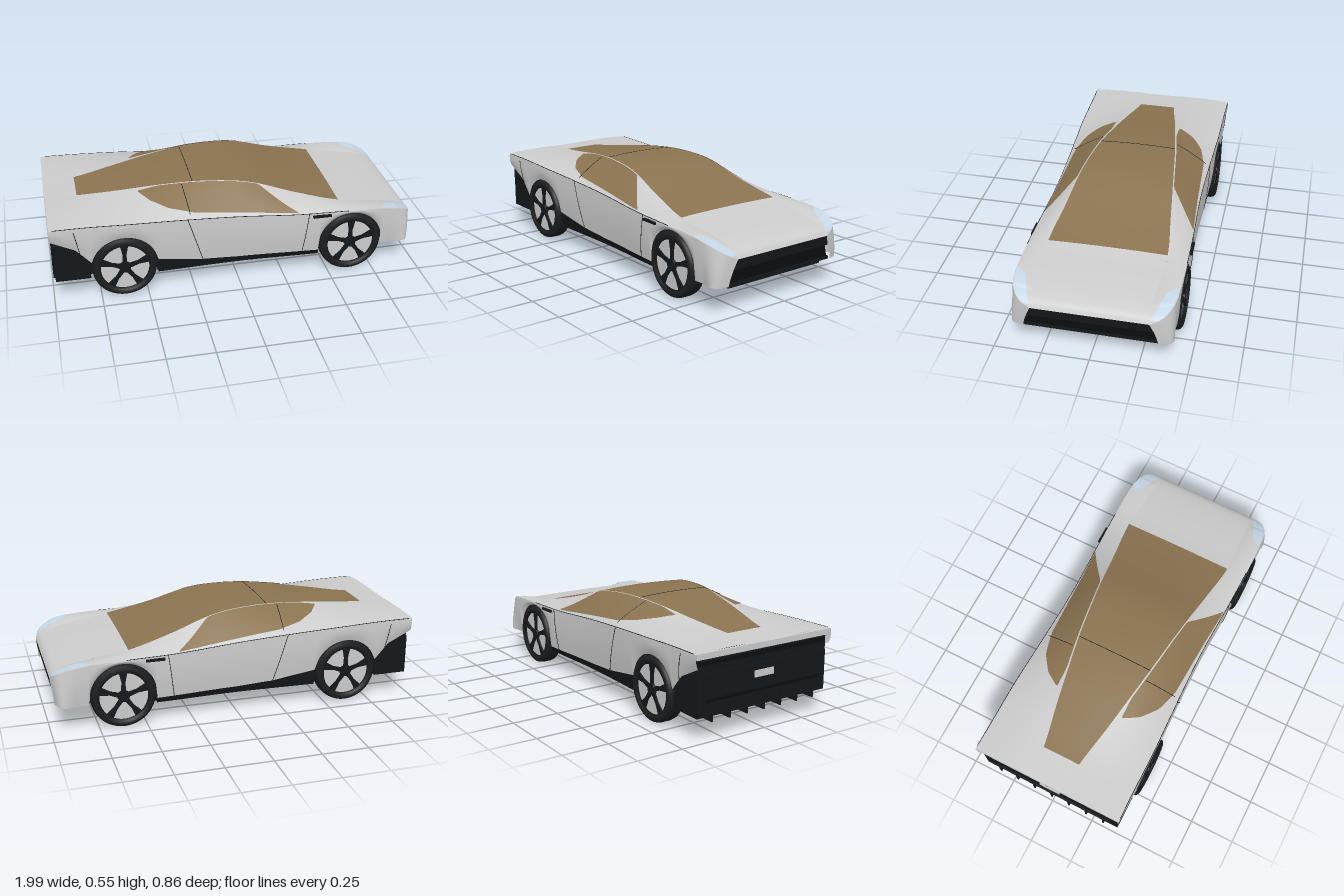
import * as THREE from 'three';

const mat = (color) => new THREE.MeshStandardMaterial({ color, side: THREE.DoubleSide });
const PAINT = mat(0xcccccc), GLASS = mat(0x8a7350), BLACK = mat(0x14171a);
const RUBBER = mat(0x1c1d1f), LAMP = mat(0xc4d6e6), DARK = mat(0x0c0e10);

// Body stations: x, centre y, roof edge z, roof edge y, shoulder z, shoulder y
const STATIONS = [
  [-1, .452, .08, .452, .425, .448], [-.8, .468, .11, .467, .422, .445],
  [-.6, .497, .15, .494, .422, .437], [-.4, .528, .185, .522, .415, .427],
  [-.2, .547, .218, .54, .408, .415], [0, .543, .245, .535, .404, .402],
  [.13, .522, .262, .513, .406, .392], [.33, .46, .287, .45, .414, .38],
  [.57, .395, .315, .39, .42, .375], [.78, .36, .305, .357, .42, .367],
  [.88, .34, .3, .338, .412, .35], [.94, .322, .297, .32, .385, .325],
  [.97, .303, .294, .302, .35, .303], [.985, .28, .29, .28, .3, .28],
];
// Lower edge of the painted side, and window limits across the flank
const LOWER = [[-1, .375], [-.87, .31], [-.79, .22], [-.45, .2], [-.2, .16], [0, .148], [.45, .14], [.985, .145]];
const WIN_TOP = [[-.51, .1], [-.4, .03], [.13, .03], [.32, .92]];
const WIN_LOW = [[-.51, .14], [-.46, .42], [-.37, .68], [-.24, .84], [0, .9], [.32, .95]];
const LAMP_TOP = [[.79, .86], [.83, .45], [.975, .2]];
const WHEEL_X = .62, WHEEL_Y = .175, ARCH = .178;

const lerp = THREE.MathUtils.lerp;
function linear(table, x) {
  let i = 0;
  while (i < table.length - 2 && x > table[i + 1][0]) i++;
  const [a, b] = [table[i], table[i + 1]];
  return lerp(a[1], b[1], THREE.MathUtils.clamp((x - a[0]) / (b[0] - a[0]), 0, 1));
}
// Smooth interpolation of one station column
function station(x, c) {
  const S = STATIONS, n = S.length;
  let i = 0;
  while (i < n - 2 && x > S[i + 1][0]) i++;
  const slope = (k) => {
    const a = S[Math.max(k - 1, 0)], b = S[Math.min(k + 1, n - 1)];
    return (b[c] - a[c]) / (b[0] - a[0]);
  };
  const h = S[i + 1][0] - S[i][0], t = (x - S[i][0]) / h, t2 = t * t, t3 = t2 * t;
  return (2 * t3 - 3 * t2 + 1) * S[i][c] + (t3 - 2 * t2 + t) * h * slope(i)
    + (3 * t2 - 2 * t3) * S[i + 1][c] + (t3 - t2) * h * slope(i + 1);
}
function lowerEdge(x) {
  const d = Math.abs(Math.abs(x) - WHEEL_X);
  return Math.max(linear(LOWER, x), d < ARCH ? WHEEL_Y + Math.sqrt(ARCH * ARCH - d * d) : 0);
}

// Body surfaces as functions of x and a cross parameter t
const roof = (x, t) => {
  const ye = station(x, 3);
  return [x, ye + (station(x, 1) - ye) * (1 - t * t), t * station(x, 2)];
};
const flank = (x, t, lift = 0) => [x,
  lerp(station(x, 3), station(x, 5), t) + .02 * t * (1 - t) * (x < .9 ? 1 : 0) + lift,
  lerp(station(x, 2), station(x, 4), t) + lift * .7];
const side = (x, t, lift = 0) => {
  const k = THREE.MathUtils.smoothstep(x, .85, .985), zs = station(x, 4);
  return [x - .015 * k * t, lerp(station(x, 5), lowerEdge(x), t),
    zs + t * (-.01 + .055 * k) + .006 * Math.sin(Math.PI * t) + lift];
};

const range = (a, b, n) => Array.from({ length: n + 1 }, (_, i) => lerp(a, b, i / n));
const noseXs = range(0, 1, 20).map((s) => lerp(.85, .985, 1 - (1 - s) ** 2));

// Grid surface; sign -1 mirrors it to the other side
function patch(fn, us, ts, sign = 1) {
  const pos = [], idx = [], m = ts.length;
  us.forEach((u) => ts.forEach((t) => { const p = fn(u, t); pos.push(p[0], p[1], p[2] * sign); }));
  for (let i = 0; i < us.length - 1; i++) for (let j = 0; j < m - 1; j++) {
    const a = i * m + j, b = a + 1, c = a + m, d = c + 1;
    if (sign > 0) idx.push(a, b, c, b, d, c); else idx.push(a, c, b, b, c, d);
  }
  const g = new THREE.BufferGeometry();
  g.setAttribute('position', new THREE.Float32BufferAttribute(pos, 3));
  g.setIndex(idx);
  g.computeVertexNormals();
  return g;
}

function makeWheel() {
  const w = new THREE.Group();
  const add = (geo, m, name) => { const o = new THREE.Mesh(geo, m); o.name = name; w.add(o); return o; };
  const tyreProfile = [[.13, -.045], [.155, -.047], [.168, -.038], [.172, -.02], [.172, .02], [.168, .038], [.155, .047], [.136, .045], [.13, .03]];
  add(new THREE.LatheGeometry(tyreProfile.map((p) => new THREE.Vector2(...p)), 48).rotateX(Math.PI / 2), RUBBER, 'tyre');
  add(new THREE.CylinderGeometry(.134, .134, .06, 48).rotateX(Math.PI / 2), PAINT, 'rimDisc');
  add(new THREE.TorusGeometry(.134, .006, 6, 48).translate(0, 0, .036), BLACK, 'rimRing');
  add(new THREE.CylinderGeometry(.03, .034, .016, 20).rotateX(Math.PI / 2).translate(0, 0, .035), BLACK, 'hub');
  const blade = new THREE.Shape([[-.013, .02], [.013, .02], [.01, .075], [.022, .133], [-.022, .133], [-.01, .075]].map((p) => new THREE.Vector2(...p)));
  const spoke = new THREE.ExtrudeGeometry(blade, { depth: .01, bevelEnabled: false });
  for (let i = 0; i < 5; i++) {
    const s = add(spoke, BLACK, 'spoke');
    s.position.z = .029;
    s.rotation.z = i * Math.PI * 2 / 5;
  }
  return w;
}

export function createModel() {
  const car = new THREE.Group();
  car.name = 'car';
  const add = (name, geo, m) => { const o = new THREE.Mesh(geo, m); o.name = name; car.add(o); return o; };
  // Box given by its limits
  const box = (name, m, x0, x1, y0, y1, z0, z1) => add(name, new THREE.BoxGeometry(x1 - x0, y1 - y0, z1 - z0)
    .translate((x0 + x1) / 2, (y0 + y1) / 2, (z0 + z1) / 2), m);
  const seam = (name, pts) => add(name, new THREE.TubeGeometry(
    new THREE.CatmullRomCurve3(pts.map((p) => new THREE.Vector3(...p))), 24, .0018, 5), BLACK);

  // Bonnet, glass canopy and rear deck
  const across = range(-1, 1, 16);
  add('rearDeck', patch(roof, range(-1, -.83, 10), across), PAINT);
  add('glassCanopy', patch(roof, range(-.83, .57, 70), across), GLASS);
  add('bonnet', patch(roof, [...range(.57, .84, 16), ...noseXs], across), PAINT);
  seam('roofSeam', across.map((t) => roof(-.22, t)));

  const bodyXs = [...range(-1, .84, 230), ...noseXs];
  for (const s of [1, -1]) {
    const mirror = (p) => [p[0], p[1], p[2] * s];
    // Painted flanks and sides with wheel arches
    add('shoulder', patch(flank, bodyXs, range(0, 1, 8), s), PAINT);
    add('sidePanel', patch(side, bodyXs, range(0, 1, 8), s), PAINT);
    // Side window and headlamp lie on the flank
    add('sideWindow', patch((x, t) => flank(x, lerp(linear(WIN_TOP, x), linear(WIN_LOW, x), t), .003),
      range(-.51, .32, 50), range(0, 1, 8), s), GLASS);
    add('headlamp', patch((x, t) => flank(x, lerp(linear(LAMP_TOP, x), .93, t), .003),
      range(.79, .975, 24), range(0, 1, 4), s), LAMP);
    seam('windowSeam', range(.06, .88, 6).map((t) => mirror(flank(-.27 + .02 * (t - .5), t, .003))));
    seam('rearDoorSeam', range(0, 1, 8).map((t) => mirror(side(-.28 + .08 * t, t, .001))));
    seam('frontDoorSeam', range(0, 1, 8).map((t) => mirror(side(.38 - .03 * t, t, .001))));
    seam('shoulderCrease', range(-.98, .6, 20).map((x) => mirror(side(x, 0))));
    seam('rearCornerSeam', range(.15, 1, 6).map((t) => mirror(side(-.88 + .03 * t, t, .001))));
    // Dark sill between the wheels
    add('sill', patch((x, t) => { const p = side(x, 1); return [x, lerp(p[1], .11, t), p[2] - .012 * t]; },
      range(-.442, .442, 40), range(0, 1, 2), s), BLACK);
    box('sideCamera', BLACK, .4, .5, .355, .367, s * .424 - .007, s * .424 + .007);
    // Wheels
    for (const x of [-WHEEL_X, WHEEL_X]) {
      const w = makeWheel();
      w.name = x > 0 ? 'frontWheel' : 'rearWheel';
      w.position.set(x, WHEEL_Y, s * .378);
      if (s < 0) w.rotation.y = Math.PI;
      car.add(w);
    }
  }

  // Nose: upper dark band and recessed intake
  const nose = (v0, v1, inset) => (v, u) => {
    const t = lerp(v0, v1, v);
    return [.985 - .015 * t - inset, lerp(.28, .145, t), u * lerp(.3, .345, t)];
  };
  add('noseBand', patch(nose(0, .38, 0), range(0, 1, 2), range(-1, 1, 12), -1), BLACK);
  add('noseIntake', patch(nose(.36, 1, .022), range(0, 1, 2), range(-1, 1, 12), -1), DARK);
  box('intakeLedge', BLACK, .935, .974, .226, .232, -.315, .315);
  box('frontSplitter', BLACK, .8, .955, .14, .155, -.35, .35);

  // Rear: painted lip, dark bumper, plate panel and diffuser fins
  box('rearLip', PAINT, -1, -.985, .418, .448, -.42, .42);
  box('rearPanel', BLACK, -.975, -.95, .3, .43, -.412, .412);
  box('rearBumper', BLACK, -.985, -.8, .125, .34, -.405, .405);
  box('lightBar', DARK, -.985, -.975, .38, .4, -.4, .4);
  box('platePanel', PAINT, -.99, -.985, .27, .305, -.06, .06);
  box('diffuserShelf', DARK, -.995, -.985, .2, .215, -.36, .36);
  for (let i = -3; i <= 3; i++) box('diffuserFin', BLACK, -.995, -.76, .098, .18, i * .107 - .004, i * .107 + .004);

  // Underbody
  box('floor', BLACK, -.445, .445, .112, .15, -.385, .385);
  box('floorSpine', BLACK, -.96, .93, .118, .2, -.31, .31);
  for (const x of [-WHEEL_X, WHEEL_X]) box('wheelHousing', DARK, x - .175, x + .175, .116, .335, -.32, .32);
  for (const x of [-.48, 0, .48]) box('crossBar', PAINT, x - .006, x + .006, .106, .114, -.36, .36);
  for (const x of [-.25, .25]) {
    const fan = new THREE.Group();
    fan.name = 'underbodyFan';
    fan.position.set(x, .11, 0);
    const part = (name, geo, m) => { const o = new THREE.Mesh(geo, m); o.name = name; fan.add(o); return o; };
    part('fanRing', new THREE.TorusGeometry(.15, .004, 6, 40).rotateX(Math.PI / 2), PAINT);
    part('fanHub', new THREE.CylinderGeometry(.03, .03, .01, 20), RUBBER);
    for (let i = 0; i < 8; i++) {
      const b = part('fanBlade', new THREE.BoxGeometry(.115, .004, .035).rotateX(.25).translate(.087, 0, 0), i % 2 ? RUBBER : mat(0x55585a));
      b.rotation.y = i * Math.PI / 4;
    }
    car.add(fan);
  }
  return car;
}
